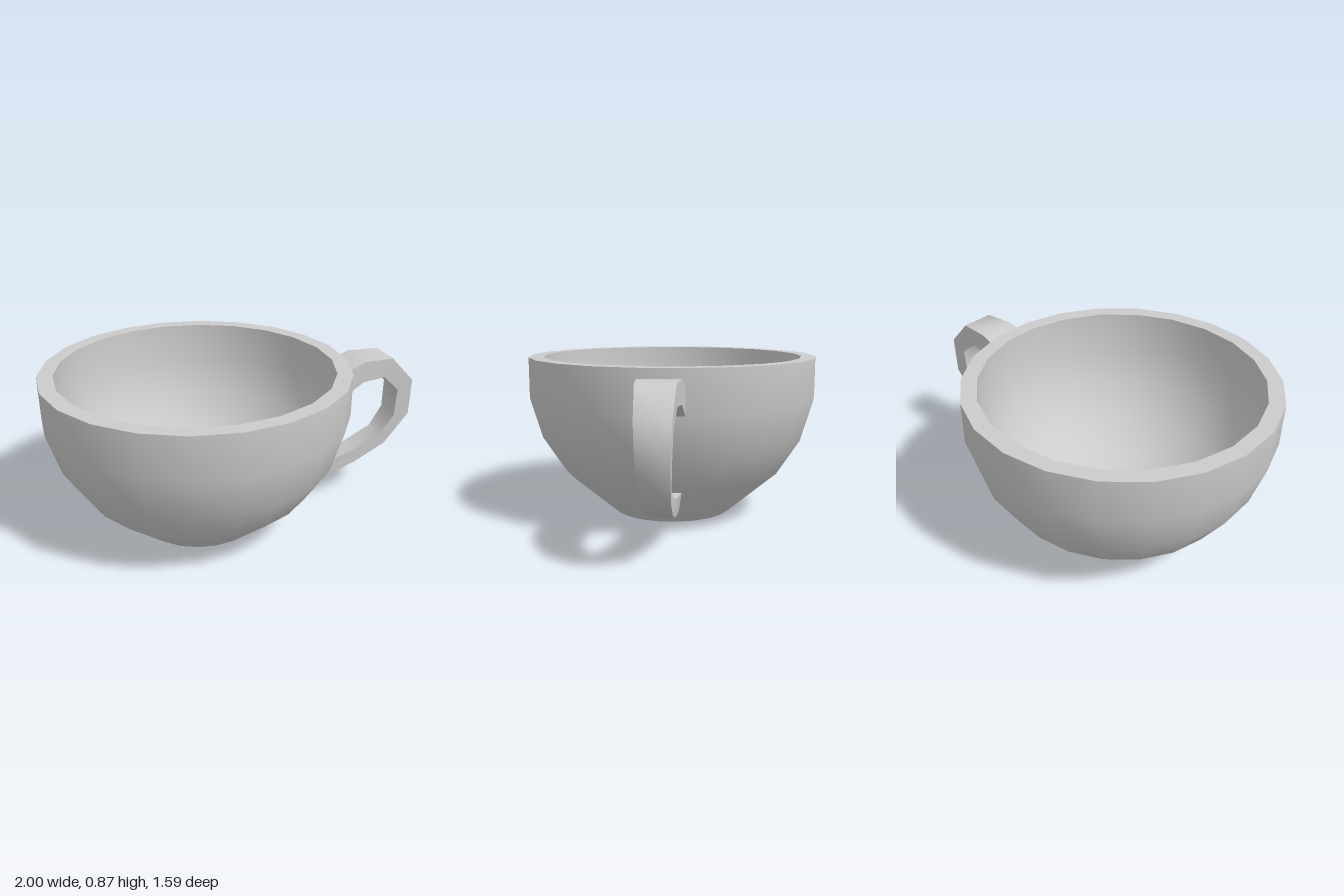
import * as THREE from 'three';

const material = new THREE.MeshStandardMaterial({ color: 0xcccccc });
const CUP_X = -0.215;
const SIDES = 22;
const CENTRE_Y = 0.765;
const RIM_Y = 0.873;

// Each band is smooth within itself; edges between bands stay sharp.
function lathePart(name, profile) {
  const points = profile.map(([r, y]) => new THREE.Vector2(r, y));
  const mesh = new THREE.Mesh(new THREE.LatheGeometry(points, SIDES), material);
  mesh.name = name;
  return mesh;
}

// Rings of a sphere, counted up from its lowest point to just below the equator.
function sphereRings(radius, first) {
  const rings = [];
  for (let i = first; i <= 5; i++) {
    const a = (i * 2 * Math.PI) / SIDES;
    rings.push([radius * Math.sin(a), CENTRE_Y - radius * Math.cos(a)]);
  }
  return rings;
}

// Sweeps four-cornered sections into four strips, smooth along the handle.
// Section: outer [x, y], inner [x, y], outer half width, inner half width.
function handlePart(sections) {
  const corners = sections.map(([[ox, oy], [ix, iy], wo, wi = wo]) => [
    [ox, oy, wo], [ox, oy, -wo], [ix, iy, -wi], [ix, iy, wi],
  ]);
  const positions = [];
  const index = [];
  for (let side = 0; side < 4; side++) {
    const base = positions.length / 3;
    corners.forEach((c, i) => {
      positions.push(...c[side], ...c[(side + 1) % 4]);
      if (i === 0) return;
      const k = base + (i - 1) * 2;
      index.push(k, k + 2, k + 3, k, k + 3, k + 1);
    });
  }
  const geometry = new THREE.BufferGeometry();
  geometry.setAttribute('position', new THREE.Float32BufferAttribute(positions, 3));
  geometry.setIndex(index);
  geometry.computeVertexNormals();
  const mesh = new THREE.Mesh(geometry, material);
  mesh.name = 'handle';
  return mesh;
}

export function createModel() {
  const group = new THREE.Group();
  group.name = 'teacup';

  // Bowl: a round inside, and a round outside with a flattened foot
  const bowl = new THREE.Group();
  bowl.name = 'bowl';
  bowl.position.x = CUP_X;
  bowl.add(
    lathePart('base', [[0, 0], [0.225, 0.0015], [0.333, 0.003]]),
    lathePart('outerWall', [[0.333, 0.003], ...sphereRings(0.802, 2), [0.794, RIM_Y]]),
    lathePart('rim', [[0.794, RIM_Y], [0.714, RIM_Y]]),
    lathePart('innerWall', [[0.714, RIM_Y], ...sphereRings(0.721, 0).reverse()]),
  );
  group.add(bowl);

  // Handle: flush with one facet of the bowl at both ends
  group.add(handlePart([
    [[0.57, 0.79], [0.57, 0.65], 0.113],
    [[0.69, 0.835], [0.69, 0.722], 0.103],
    [[0.86, 0.835], [0.82, 0.73], 0.09],
    [[1.0, 0.69], [0.915, 0.64], 0.08],
    [[1.0, 0.485], [0.91, 0.485], 0.073],
    [[0.87, 0.315], [0.835, 0.37], 0.067],
    [[0.69, 0.215], [0.67, 0.29], 0.062],
    [[0.49, 0.14], [0.49, 0.235], 0.06, 0.066],
    [[0.21, 0.087], [0.385, 0.237], 0.062, 0.086],
  ]));

  return group;
}
